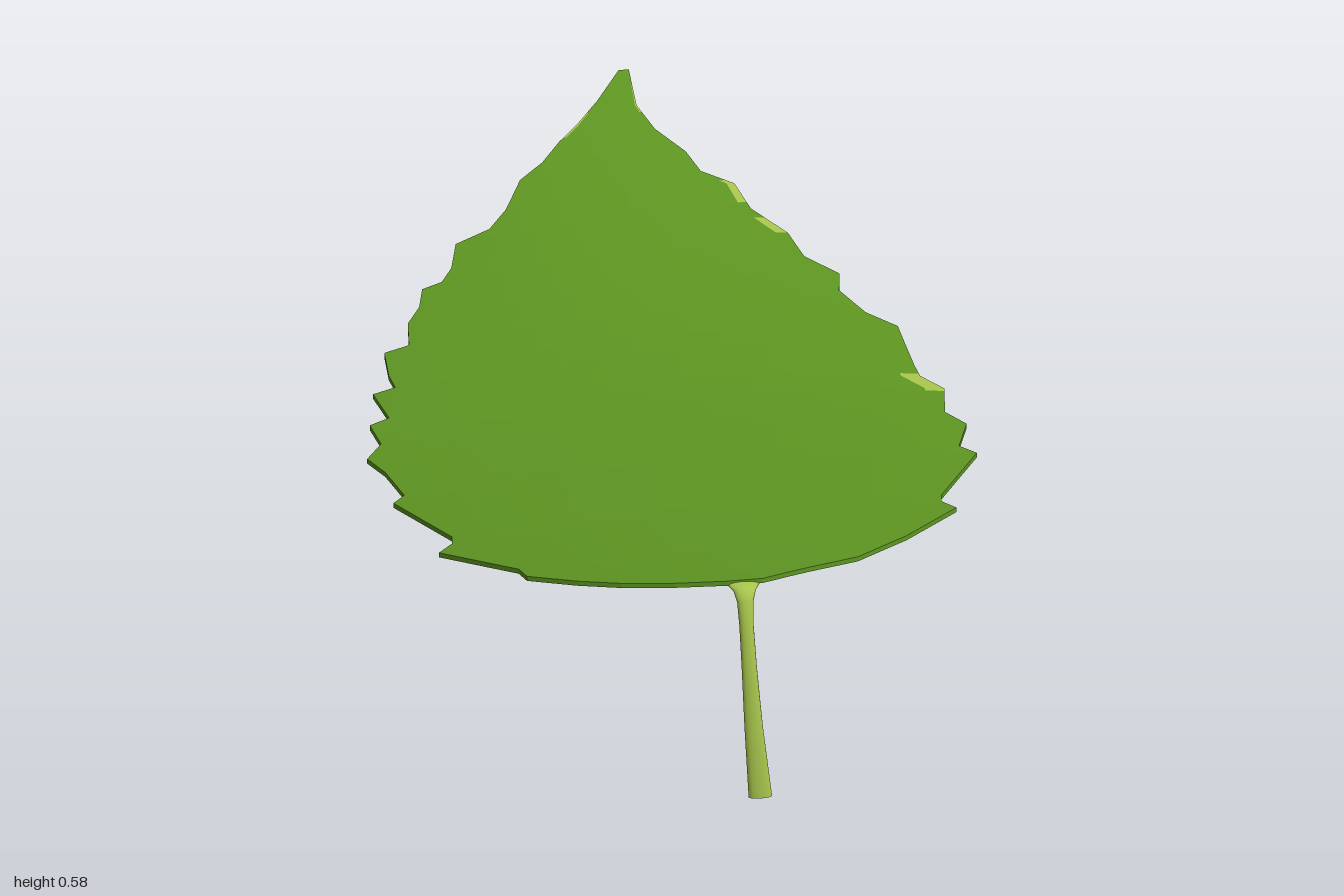
import * as THREE from 'three';

// Serrated margins as [x, z], from the tip to the base
const LEFT = [[0.085, -1], [0.03, -0.92], [-0.02, -0.86], [-0.06, -0.82], [-0.1, -0.77], [-0.15, -0.73],
  [-0.19, -0.65], [-0.23, -0.6], [-0.3, -0.575], [-0.32, -0.5], [-0.345, -0.46], [-0.385, -0.45], [-0.4, -0.39],
  [-0.43, -0.34], [-0.44, -0.26], [-0.49, -0.25], [-0.495, -0.16], [-0.49, -0.11], [-0.535, -0.1], [-0.52, 0.005],
  [-0.56, 0.02], [-0.55, 0.1], [-0.585, 0.15], [-0.56, 0.22], [-0.54, 0.33], [-0.565, 0.355], [-0.48, 0.55],
  [-0.485, 0.58], [-0.515, 0.61], [-0.38, 0.75], [-0.37, 0.79], [-0.28, 0.85], [-0.2, 0.89], [-0.1, 0.92], [0, 0.935]];
const RIGHT = [[0.105, -1], [0.105, -0.9], [0.13, -0.83], [0.18, -0.76], [0.2, -0.7], [0.26, -0.66], [0.28, -0.58],
  [0.34, -0.5], [0.36, -0.42], [0.42, -0.36], [0.41, -0.3], [0.45, -0.22], [0.505, -0.17], [0.515, -0.02],
  [0.52, 0.02], [0.56, 0.07], [0.545, 0.17], [0.58, 0.22], [0.55, 0.32], [0.58, 0.35], [0.48, 0.55], [0.475, 0.58],
  [0.5, 0.61], [0.38, 0.75], [0.27, 0.85], [0.15, 0.9], [0.07, 0.935]];
// Margin stretches with pale flecks, as [from z, to z]
const LEFT_FLECKS = [[-0.89, -0.83]];
const RIGHT_FLECKS = [[-0.96, -0.88], [-0.67, -0.6], [-0.55, -0.5], [0.01, 0.08]];
const THICKNESS = 0.01;

function edgeX(points, z) {
  for (let i = 1; i < points.length; i++) {
    const [x0, z0] = points[i - 1], [x1, z1] = points[i];
    if (z <= z1) return x0 + (x1 - x0) * (z - z0) / (z1 - z0);
  }
  return points[points.length - 1][0];
}

// Blade height: lifted tip, slightly lifted base, drooping sides
function height(x, z) {
  const n = Math.max(0, -z), d = z - 0.15;
  return 0.41 + (d < 0 ? 0.125 : 0.057) * d * d - (0.11 + 0.3 * n * n) * x * x + (0.018 + 0.05 * n) * x;
}

const rowSet = new Set([...LEFT, ...RIGHT].map(p => p[1]));
for (const [a, b] of [...LEFT_FLECKS, ...RIGHT_FLECKS]) rowSet.add(a).add(b);
const ROWS = [...rowSet].sort((a, b) => a - b);
const COLS = [0, 0.035, 0.12, 0.23, 0.34, 0.45, 0.56, 0.67, 0.78, 0.88, 0.965, 1];

function bladePoint(i, j, drop) {
  const z = ROWS[i], l = edgeX(LEFT, z), x = l + (edgeX(RIGHT, z) - l) * COLS[j];
  return [x, height(x, z) - drop, z];
}

function makeGeometry(positions, indexGroups) {
  const g = new THREE.BufferGeometry();
  g.setAttribute('position', new THREE.Float32BufferAttribute(positions, 3));
  g.setIndex(indexGroups.flat());
  let start = 0;
  indexGroups.forEach((list, m) => {
    g.addGroup(start, list.length, m);
    start += list.length;
  });
  g.computeVertexNormals();
  return g;
}

// One face of the blade; group 0 is leaf green, group 1 the pale flecks
function bladeFace(drop, flip) {
  const pos = [], groups = [[], []], n = COLS.length;
  ROWS.forEach((z, i) => COLS.forEach((u, j) => pos.push(...bladePoint(i, j, drop))));
  for (let i = 0; i < ROWS.length - 1; i++) {
    const mid = (ROWS[i] + ROWS[i + 1]) / 2;
    const inside = flecks => flecks.some(([a, b]) => mid > a && mid < b);
    for (let j = 0; j < n - 1; j++) {
      const a = i * n + j, b = a + n, c = a + 1, d = b + 1;
      const pale = (j === 0 && inside(LEFT_FLECKS)) || (j === n - 2 && inside(RIGHT_FLECKS));
      groups[pale ? 1 : 0].push(...(flip ? [a, c, b, c, d, b] : [a, b, c, c, b, d]));
    }
  }
  return makeGeometry(pos, groups);
}

// Thin wall joining the two faces along the margin
function bladeRim() {
  const r = ROWS.length - 1, c = COLS.length - 1, loop = [];
  for (let i = 0; i < r; i++) loop.push([i, 0]);
  for (let j = 0; j < c; j++) loop.push([r, j]);
  for (let i = r; i > 0; i--) loop.push([i, c]);
  for (let j = c; j > 0; j--) loop.push([0, j]);
  const pos = [], idx = [], n = loop.length;
  loop.forEach(([i, j]) => pos.push(...bladePoint(i, j, 0), ...bladePoint(i, j, THICKNESS)));
  for (let k = 0; k < n; k++) {
    const a = 2 * k, b = 2 * ((k + 1) % n);
    idx.push(a, a + 1, b, b, a + 1, b + 1);
  }
  const g = makeGeometry(pos, [idx]).toNonIndexed();
  g.computeVertexNormals();
  return g;
}

// Stalk: ellipses swept along a bent path, flared at the blade and the foot
function stalkGeometry() {
  // [centre x, y, z, half width, half depth]
  const sections = [[0.033, 0.436, 0.9, 0.045, 0.004], [0.033, 0.437, 0.93, 0.034, 0.007],
    [0.033, 0.428, 0.946, 0.022, 0.009], [0.033, 0.408, 0.954, 0.016, 0.009], [0.034, 0.36, 0.963, 0.014, 0.009],
    [0.038, 0.27, 0.974, 0.015, 0.008], [0.045, 0.15, 0.982, 0.018, 0.008], [0.057, 0, 0.99, 0.023, 0.008]];
  const SIDES = 14, last = sections.length - 1, pos = [], idx = [];
  sections.forEach(([x, y, z, w, d], i) => {
    const p = sections[Math.max(0, i - 1)], q = sections[Math.min(last, i + 1)];
    let ty = q[1] - p[1], tz = q[2] - p[2];
    const len = Math.hypot(ty, tz);
    ty /= len; tz /= len;
    if (i === last) { ty = -1; tz = 0; }
    for (let k = 0; k < SIDES; k++) {
      const a = k / SIDES * Math.PI * 2, s = Math.sin(a) * d;
      pos.push(x + Math.cos(a) * w, y + s * tz, z - s * ty);
    }
  });
  for (let i = 0; i < last; i++) for (let k = 0; k < SIDES; k++) {
    const a = i * SIDES + k, b = i * SIDES + (k + 1) % SIDES;
    idx.push(a, b, a + SIDES, b, b + SIDES, a + SIDES);
  }
  // Flat cut at the foot with its own vertices
  const base = pos.length / 3;
  pos.push(...pos.slice(last * SIDES * 3));
  for (let k = 1; k < SIDES - 1; k++) idx.push(base, base + k, base + k + 1);
  return makeGeometry(pos, [idx]);
}

export function createModel() {
  const leafGreen = new THREE.MeshStandardMaterial({ color: 0x5f9722 });
  leafGreen.name = 'leaf green';
  const paleGreen = new THREE.MeshStandardMaterial({ color: 0xa9c64c });
  paleGreen.name = 'pale green';
  paleGreen.side = THREE.DoubleSide;

  const model = new THREE.Group();
  model.name = 'leaf';
  const add = (name, geometry, material) => {
    const mesh = new THREE.Mesh(geometry, material);
    mesh.name = name;
    model.add(mesh);
  };
  add('bladeTop', bladeFace(0, false), [leafGreen, paleGreen]);
  add('bladeUnderside', bladeFace(THICKNESS, true), [leafGreen, paleGreen]);
  add('bladeRim', bladeRim(), leafGreen);
  add('stalk', stalkGeometry(), paleGreen);
  return model;
}
